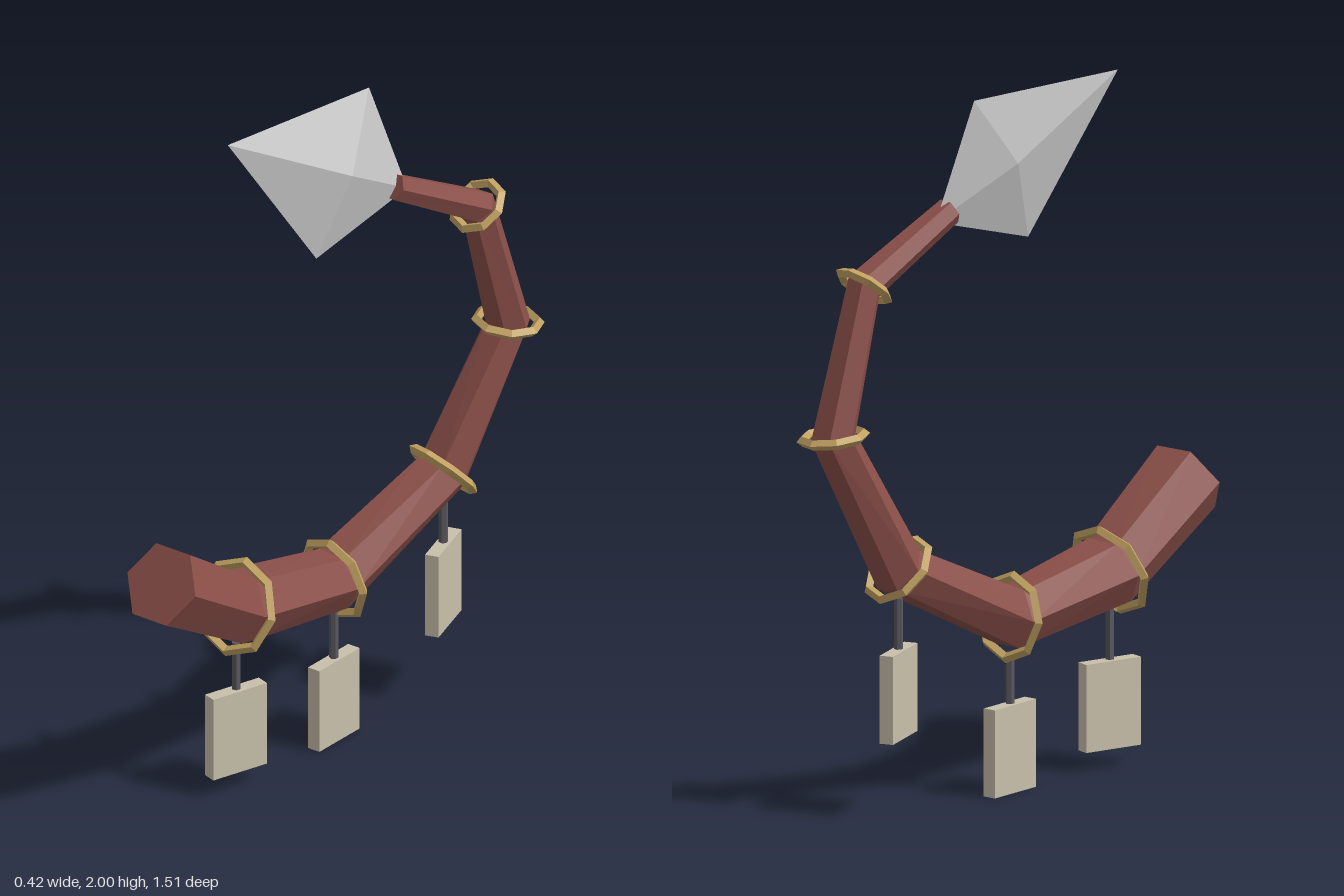
import * as THREE from 'three';
import { ConvexGeometry } from 'three/addons/geometries/ConvexGeometry.js';

const mat = (name, color) => {
  const m = new THREE.MeshStandardMaterial({ color, flatShading: true });
  m.name = name;
  return m;
};
const V = (x, y, z) => new THREE.Vector3(x, y, z);

// Joints of the tail, from the thick end to the blade
const joints = [
  V(-0.07, 0.77, 0.705), V(-0.07, 0.565, 0.367), V(-0.04, 0.5, -0.037), V(0.03, 0.7, -0.443),
  V(0.1, 1.105, -0.645), V(0.095, 1.515, -0.515), V(0.04, 1.682, -0.205),
];
const radius = (i) => 0.12 - i * 0.0133;

// Side, normal and tangent at a joint, with the tangent halving the bend
function frame(i) {
  const t = V(0, 0, 0);
  if (i > 0) t.add(joints[i].clone().sub(joints[i - 1]).normalize());
  if (i < joints.length - 1) t.add(joints[i + 1].clone().sub(joints[i]).normalize());
  t.normalize();
  const s = V(1, 0, 0).addScaledVector(t, -t.x).normalize();
  return { s, n: t.clone().cross(s), t };
}

// Tapering six-sided tail with capped ends
function tailGeometry() {
  const sides = 6, pos = [], idx = [], last = joints.length - 1;
  joints.forEach((p, i) => {
    const { s, n } = frame(i);
    for (let j = 0; j < sides; j++) {
      const a = (j / sides) * Math.PI * 2;
      const v = p.clone().addScaledVector(s, Math.cos(a) * radius(i)).addScaledVector(n, Math.sin(a) * radius(i));
      pos.push(v.x, v.y, v.z);
    }
  });
  for (let i = 0; i < last; i++) {
    for (let j = 0; j < sides; j++) {
      const k = (j + 1) % sides, a = i * sides, b = a + sides;
      idx.push(a + j, a + k, b + j, a + k, b + k, b + j);
    }
  }
  for (let j = 1; j < sides - 1; j++) {
    idx.push(0, j + 1, j, last * sides, last * sides + j, last * sides + j + 1);
  }
  const g = new THREE.BufferGeometry();
  g.setAttribute('position', new THREE.Float32BufferAttribute(pos, 3));
  g.setIndex(idx);
  const flat = g.toNonIndexed();
  flat.computeVertexNormals();
  return flat;
}

export function createModel() {
  const model = new THREE.Group();
  model.name = 'tail';
  const skin = mat('red brown skin', 0x8b4f49);
  const gold = mat('dull gold', 0xc0a060);
  const steel = mat('pale steel', 0xc8c8c8);
  const iron = mat('dark iron', 0x58585e);
  const paper = mat('parchment', 0xc8c0aa);

  const add = (name, geometry, material, parent = model) => {
    const m = new THREE.Mesh(geometry, material);
    m.name = name;
    parent.add(m);
    return m;
  };

  add('tailBody', tailGeometry(), skin);

  // Faceted rings around the inner joints
  for (let i = 1; i <= 5; i++) {
    const { s, n, t } = frame(i);
    const ring = add('ring' + i, new THREE.TorusGeometry(radius(i) + 0.022, 0.015, 4, 8), gold);
    ring.quaternion.setFromRotationMatrix(new THREE.Matrix4().makeBasis(s, n, t));
    ring.position.copy(joints[i]);
  }

  // Tags hanging on rods under the three lowest rings: joint, tag centre height, turn
  [[1, 0.182, -0.3], [2, 0.126, 0], [3, 0.346, 0.3]].forEach(([i, y, turn]) => {
    const tag = new THREE.Group();
    tag.name = 'hangingTag' + i;
    tag.position.set(joints[i].x, y, joints[i].z);
    tag.rotation.y = turn;
    add('tagPlate', new THREE.BoxGeometry(0.04, 0.252, 0.182), paper, tag);
    add('tagRod', new THREE.CylinderGeometry(0.013, 0.013, 0.145, 6), iron, tag).position.y = 0.2;
    model.add(tag);
  });

  // Kite-shaped blade with a raised ridge on both faces
  add('blade', new ConvexGeometry([
    V(-0.097, 2, 0.37), V(-0.01, 1.995, -0.158), V(0.045, 1.657, -0.26), V(-0.005, 1.56, 0.087),
    V(0.057, 1.803, 0.002), V(-0.056, 1.797, -0.02),
  ]), steel);

  return model;
}
